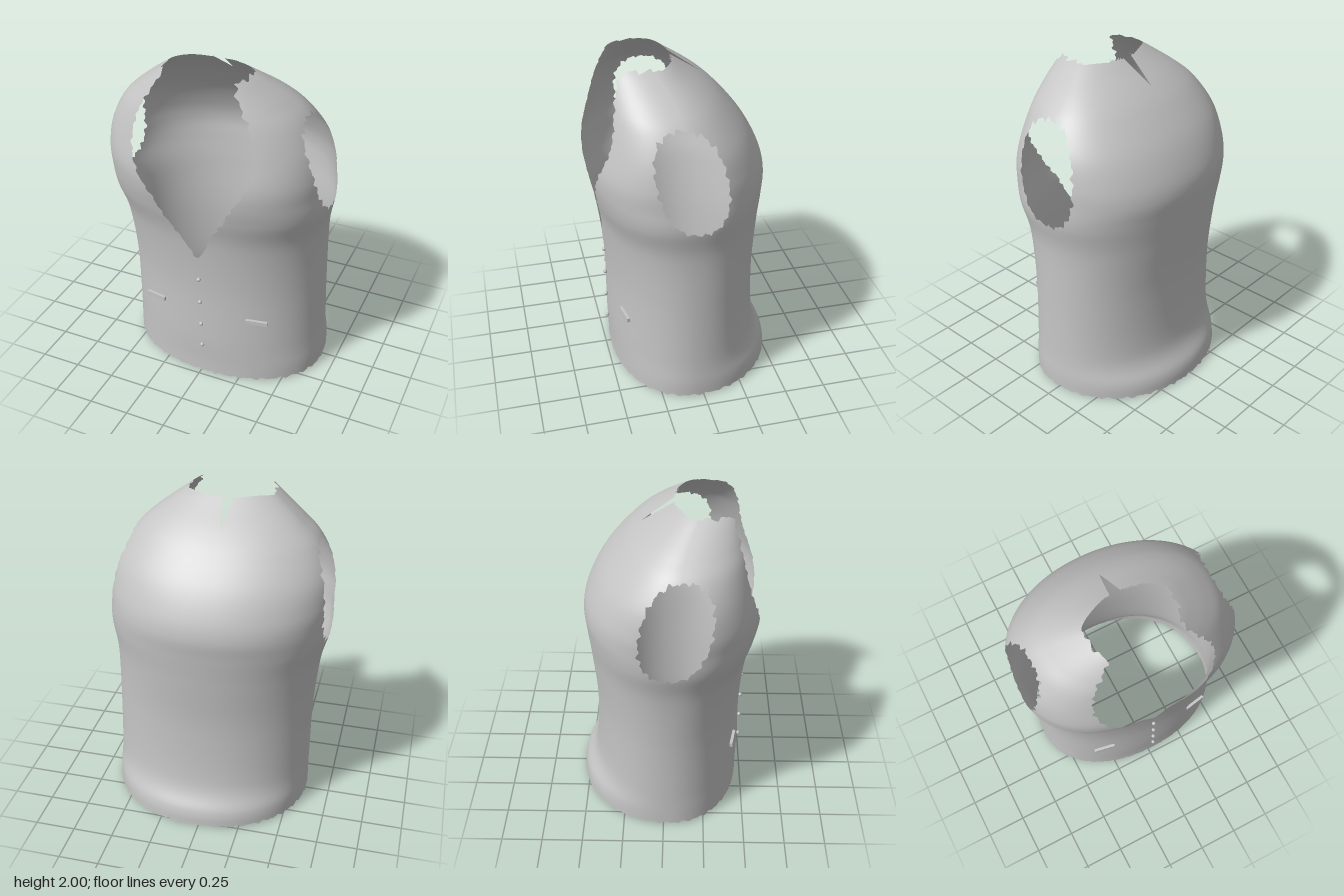
import * as THREE from 'three';

// Body sections: [y, right x, left x, front z, back z, widest z, front fullness]
const SECTIONS = [
  [0, -0.6, 0.66, 0.47, -0.54, 0.03, 2.15],
  [0.1, -0.6, 0.66, 0.47, -0.525, 0.03, 2.15],
  [0.27, -0.6, 0.65, 0.475, -0.45, 0.03, 2.1],
  [0.66, -0.607, 0.64, 0.475, -0.43, 0.03, 2.1],
  [1.0, -0.637, 0.64, 0.505, -0.455, 0.04, 2.2],
  [1.2, -0.685, 0.67, 0.55, -0.475, 0.05, 2.35],
  [1.33, -0.695, 0.665, 0.575, -0.485, 0.05, 2.4],
  [1.45, -0.7, 0.655, 0.575, -0.455, 0.06, 2.4],
  [1.6, -0.675, 0.615, 0.54, -0.375, 0.07, 2.4],
  [1.75, -0.59, 0.525, 0.505, -0.25, 0.1, 2.4],
  [1.85, -0.48, 0.42, 0.485, -0.14, 0.12, 2.4],
  [1.95, -0.35, 0.28, 0.46, 0.0, 0.17, 2.4],
  [2.0, -0.28, 0.2, 0.45, 0.07, 0.2, 2.4],
];

// Front opening: [y, right edge x, left edge x]
const OPENING = [
  [0, 1, -1], [0.88, 0, 0], [1.0, -0.07, 0.07], [1.1, -0.14, 0.11], [1.2, -0.2, 0.18],
  [1.3, -0.25, 0.23], [1.4, -0.33, 0.29], [1.5, -0.38, 0.34], [1.6, -0.4, 0.36],
  [1.7, -0.39, 0.34], [1.8, -0.36, 0.29], [1.9, -0.3, 0.23], [2.01, -0.24, 0.165],
];

const COLS = 200, ROWS = 117;

const spline = (a, b) => new THREE.CatmullRomCurve3(
  SECTIONS.map((s) => new THREE.Vector3(s[a], s[b], s[0])), false, 'catmullrom');
const sides = spline(1, 2), depths = spline(3, 4), middles = spline(5, 6);

// Point of the body at height parameter t and angle a (0 = front)
function bodyPoint(t, a) {
  const s = sides.getPoint(t), d = depths.getPoint(t), m = middles.getPoint(t);
  const c = m.x, sn = Math.sin(a), cs = Math.cos(a);
  const e = 2 / (cs > 0 ? m.y : 2.1);
  const x = (s.x + s.y) / 2 + (s.y - s.x) / 2 * Math.sign(sn) * Math.abs(sn) ** e;
  const z = c + (cs > 0 ? d.x - c : c - d.y) * Math.sign(cs) * Math.abs(cs) ** e;
  return new THREE.Vector3(x, s.z, z);
}

function openingAt(y) {
  const i = Math.max(1, OPENING.findIndex((o) => o[0] >= y));
  const a = OPENING[i - 1], b = OPENING[i], k = (y - a[0]) / (b[0] - a[0]);
  return [1, 2].map((n) => a[n] + (b[n] - a[n]) * k);
}

const ragged = (s) => (Math.sin(s) + Math.sin(s * 1.63 + 1)) / 2;

// Positive where there is cloth, negative in the openings
function cloth({ x, y, z }) {
  const [r, l] = openingAt(y);
  const neck = Math.max(x - l, r - x, 0.2 - z) + 0.012 * ragged(y * 75 + Math.sign(x));
  const u = (z - 0.07 - (y - 1.47) * 0.17) / 0.2, v = (y - 1.47) / 0.29;
  const arm = Math.abs(x) < 0.3 ? 1
    : ((Math.abs(u) ** 2.3 + Math.abs(v) ** 2.3) ** (1 / 2.3) - 1) * 0.22
      + 0.014 * ragged(Math.atan2(v, u) * 19 + Math.sign(x));
  const notch = Math.max(Math.abs(x + 0.045) - 0.03 * (y - 1.85) / 0.13, z - 0.25);
  const turn = Math.atan2(x, z);
  const hem = y - 0.011 + 0.011 * ragged(turn * 38);
  const collar = 1.99 + 0.01 * ragged(turn * 26) - y;
  return Math.min(neck, arm, notch, hem, collar);
}

function makeBody() {
  // Whole closed-round grid with smooth normals
  const pos = [], index = [];
  for (let i = 0; i <= ROWS; i++) {
    for (let j = 0; j < COLS; j++) pos.push(...bodyPoint(i / ROWS, j / COLS * Math.PI * 2).toArray());
  }
  for (let i = 0; i < ROWS; i++) {
    for (let j = 0; j < COLS; j++) {
      const k = (j + 1) % COLS, a = i * COLS + j, b = i * COLS + k;
      index.push(a, b, b + COLS, a, b + COLS, a + COLS);
    }
  }
  const grid = new THREE.BufferGeometry();
  grid.setAttribute('position', new THREE.Float32BufferAttribute(pos, 3));
  grid.setIndex(index);
  grid.computeVertexNormals();
  const verts = [];
  for (let i = 0; i < pos.length / 3; i++) {
    const p = new THREE.Vector3().fromBufferAttribute(grid.attributes.position, i);
    verts.push({ p, n: new THREE.Vector3().fromBufferAttribute(grid.attributes.normal, i), f: cloth(p) });
  }
  // Trim each triangle along the edges of the openings
  const outPos = [], outNor = [];
  for (let t = 0; t < index.length; t += 3) {
    const poly = [];
    for (let e = 0; e < 3; e++) {
      const a = verts[index[t + e]], b = verts[index[t + (e + 1) % 3]];
      if (a.f >= 0) poly.push(a);
      if ((a.f >= 0) !== (b.f >= 0)) {
        const k = a.f / (a.f - b.f);
        poly.push({ p: a.p.clone().lerp(b.p, k), n: a.n.clone().lerp(b.n, k).normalize() });
      }
    }
    for (let e = 2; e < poly.length; e++) {
      for (const q of [poly[0], poly[e - 1], poly[e]]) {
        outPos.push(q.p.x, q.p.y, q.p.z);
        outNor.push(q.n.x, q.n.y, q.n.z);
      }
    }
  }
  const geo = new THREE.BufferGeometry();
  geo.setAttribute('position', new THREE.Float32BufferAttribute(outPos, 3));
  geo.setAttribute('normal', new THREE.Float32BufferAttribute(outNor, 3));
  return geo;
}

export function createModel() {
  const group = new THREE.Group();
  const grey = new THREE.MeshStandardMaterial({ color: 0xc4c4c4, side: THREE.DoubleSide });
  grey.name = 'grey cloth';
  const add = (name, geo, x, y, z) => {
    const mesh = new THREE.Mesh(geo, grey);
    mesh.name = name;
    mesh.position.set(x, y, z);
    group.add(mesh);
    return mesh;
  };

  add('vestBody', makeBody(), 0, 0, 0);

  // Row of buttons down the front
  const buttonGeo = new THREE.SphereGeometry(0.013, 12, 8);
  [[0.005, 0.735], [0.01, 0.567], [0.015, 0.4], [0.02, 0.235]].forEach(([x, y]) => {
    add('button', buttonGeo, x, y, 0.487);
  });

  // Pocket welts, turned to follow the body
  const weltGeo = new THREE.BoxGeometry(0.135, 0.026, 0.018);
  for (const [name, x] of [['rightPocket', -0.32], ['leftPocket', 0.358]]) {
    add(name, weltGeo, x, 0.475, 0.428).rotation.y = Math.sign(x) * 0.18;
  }
  return group;
}
